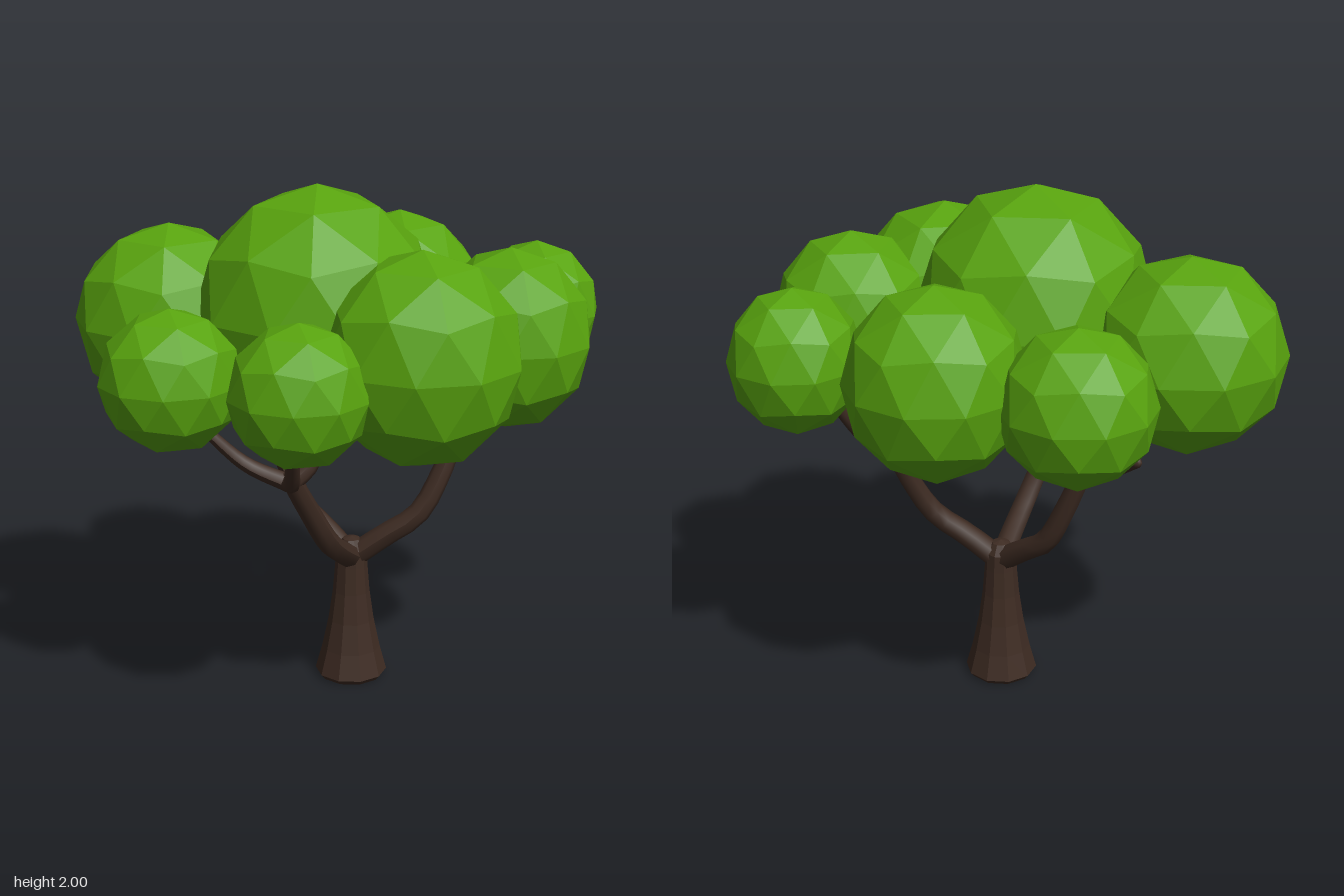
import * as THREE from 'three';

const leafGreen = new THREE.MeshStandardMaterial({ color: 0x58a30e });
const barkBrown = new THREE.MeshStandardMaterial({ color: 0x3d2b22 });
const V = (p) => new THREE.Vector3(...p);

// Faceted surface: every triangle gets its own normal
function facet(geo) {
  const g = geo.index ? geo.toNonIndexed() : geo;
  g.computeVertexNormals();
  return g;
}

function part(name, geo, mat) {
  const m = new THREE.Mesh(geo, mat);
  m.name = name;
  return m;
}

// Tapered limb along a smooth path, closed with a small dome at the tip
function limb(name, points, r0, r1) {
  const sides = 8, steps = 10;
  const curve = new THREE.CatmullRomCurve3(points.map(V));
  const geo = new THREE.TubeGeometry(curve, steps, 1, sides);
  const pos = geo.attributes.position;
  const c = new THREE.Vector3(), v = new THREE.Vector3();
  for (let i = 0; i < pos.count; i++) {
    const t = Math.floor(i / (sides + 1)) / steps;
    curve.getPointAt(t, c);
    v.fromBufferAttribute(pos, i).sub(c).multiplyScalar(r0 + (r1 - r0) * t).add(c);
    pos.setXYZ(i, v.x, v.y, v.z);
  }
  geo.computeVertexNormals();
  const g = new THREE.Group();
  g.name = name;
  const tip = part('limbTip', new THREE.SphereGeometry(r1, sides, 4), barkBrown);
  tip.position.copy(V(points[points.length - 1]));
  g.add(part('limbWood', geo, barkBrown), tip);
  return g;
}

export function createModel() {
  const tree = new THREE.Group();
  tree.name = 'tree';

  // Flared trunk
  const profile = [[0, 0], [0.125, 0], [0.142, 0.02], [0.115, 0.12], [0.09, 0.24], [0.073, 0.36],
    [0.064, 0.47], [0.06, 0.54], [0.035, 0.58], [0, 0.59]];
  const trunk = part('trunk',
    facet(new THREE.LatheGeometry(profile.map((p) => new THREE.Vector2(...p)), 10)), barkBrown);
  trunk.position.set(0.07, 0, -0.06);
  tree.add(trunk);

  // Three main branches, each ending in a fork of twigs
  const branches = [
    { name: 'frontBranch', path: [[0.07, 0.5, -0.06], [0.075, 0.57, 0.07], [0.07, 0.66, 0.2], [0.035, 0.82, 0.31], [0, 0.97, 0.4]],
      twigs: [[[0.07, 1.02, 0.56], [0.13, 1.2, 0.7]], [[-0.16, 1.02, 0.44], [-0.3, 1.16, 0.5]], [[0.06, 1.02, 0.34], [0.07, 1.2, 0.28]]] },
    { name: 'leftBranch', path: [[0.07, 0.5, -0.06], [0.2, 0.6, -0.09], [0.32, 0.69, -0.13], [0.39, 0.84, -0.19], [0.43, 0.99, -0.25]],
      twigs: [[[0.5, 1.08, -0.35], [0.58, 1.32, -0.5]], [[0.52, 1.05, -0.2], [0.62, 1.16, -0.12]], [[0.28, 1.04, -0.34], [0.14, 1.16, -0.46]]] },
    { name: 'rightBranch', path: [[0.07, 0.5, -0.06], [-0.05, 0.59, -0.1], [-0.15, 0.66, -0.13], [-0.23, 0.81, -0.14], [-0.3, 0.98, -0.14]],
      twigs: [[[-0.43, 1.04, -0.2], [-0.56, 1.13, -0.27]], [[-0.2, 1.03, -0.1], [-0.08, 1.12, -0.05]]] },
  ];
  for (const { name, path, twigs } of branches) {
    tree.add(limb(name, path, 0.048, 0.037));
    const fork = path[path.length - 1];
    const root = [fork[0], fork[1] - 0.02, fork[2]];
    for (const t of twigs) tree.add(limb('twig', [root, ...t], 0.036, 0.021));
  }

  // Leaf clumps: centre x, y, z, horizontal radius, vertical radius
  const clumps = [
    ['crownClump', -0.015, 1.53, 0.085, 0.455, 0.47],
    ['rightClump', -0.63, 1.44, 0.06, 0.37, 0.37],
    ['backRightClump', -0.42, 1.41, -0.5, 0.285, 0.29],
    ['backClump', 0.09, 1.44, -0.56, 0.335, 0.36],
    ['backLeftClump', 0.65, 1.44, -0.565, 0.25, 0.275],
    ['leftClump', 0.675, 1.445, -0.075, 0.31, 0.34],
    ['frontLeftClump', 0.455, 1.435, 0.285, 0.37, 0.395],
    ['frontClump', 0.13, 1.365, 0.64, 0.255, 0.26],
    ['frontRightClump', -0.395, 1.345, 0.56, 0.265, 0.265],
  ];
  clumps.forEach(([name, x, y, z, r, ry], i) => {
    const geo = new THREE.IcosahedronGeometry(1, 1);
    geo.rotateZ(-0.5536).rotateY(i * 1.3).scale(r, ry, r);
    const clump = part(name, facet(geo), leafGreen);
    clump.position.set(x, y, z);
    tree.add(clump);
  });
  return tree;
}
